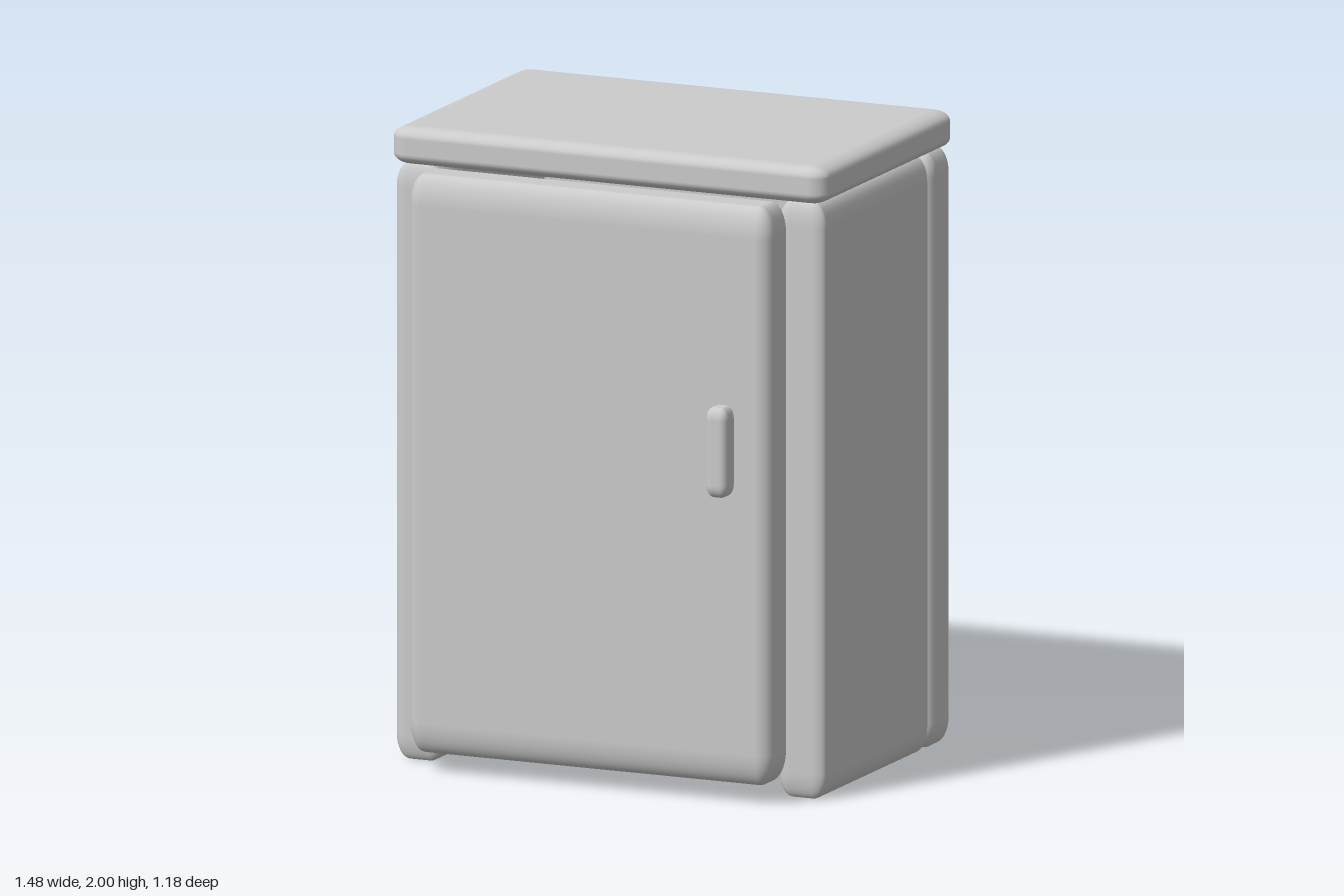
import * as THREE from 'three';
import { RoundedBoxGeometry } from 'three/addons/geometries/RoundedBoxGeometry.js';

const material = new THREE.MeshStandardMaterial({ color: 0xcccccc });

// Rounded panel between two corners, with its own edge radius along each axis
function panel(name, min, max, [rx, ry, rz]) {
  const [w, h, d] = max.map((v, i) => v - min[i]);
  const geometry = new RoundedBoxGeometry(w / rx, h / ry, d / rz, 4, 1);
  geometry.scale(rx, ry, rz);
  const mesh = new THREE.Mesh(geometry, material);
  mesh.name = name;
  mesh.position.set(...max.map((v, i) => (v + min[i]) / 2));
  return mesh;
}

export function createModel() {
  const cabinet = new THREE.Group();
  cabinet.name = 'cabinet';

  // Overhanging top slab
  cabinet.add(panel('top', [-0.74, 1.88, -0.583], [0.74, 2, 0.387], [0.06, 0.035, 0.05]));

  // Two side walls, mirrored
  for (const [name, side] of [['leftSide', 1], ['rightSide', -1]]) {
    const wall = panel(name, [0.57, 0, -0.417], [0.73, 1.885, 0.368], [0.045, 0.08, 0.025]);
    wall.position.x *= side;
    cabinet.add(wall);
  }

  // Full-width back wall
  cabinet.add(panel('back', [-0.73, 0, -0.587], [0.73, 1.885, -0.424], [0.045, 0.08, 0.045]));

  // Raised inner shelf; the underside of the cabinet is open
  cabinet.add(panel('shelf', [-0.58, 0.325, -0.43], [0.58, 0.44, 0.27], [0.03, 0.03, 0.03]));

  // Door in front of the side walls, with its handle
  const door = new THREE.Group();
  door.name = 'door';
  door.add(panel('doorPanel', [-0.615, 0.06, 0.369], [0.62, 1.89, 0.53], [0.05, 0.1, 0.045]));
  door.add(panel('handle', [0.425, 0.975, 0.5], [0.5, 1.26, 0.59], [0.025, 0.04, 0.025]));
  cabinet.add(door);

  return cabinet;
}
